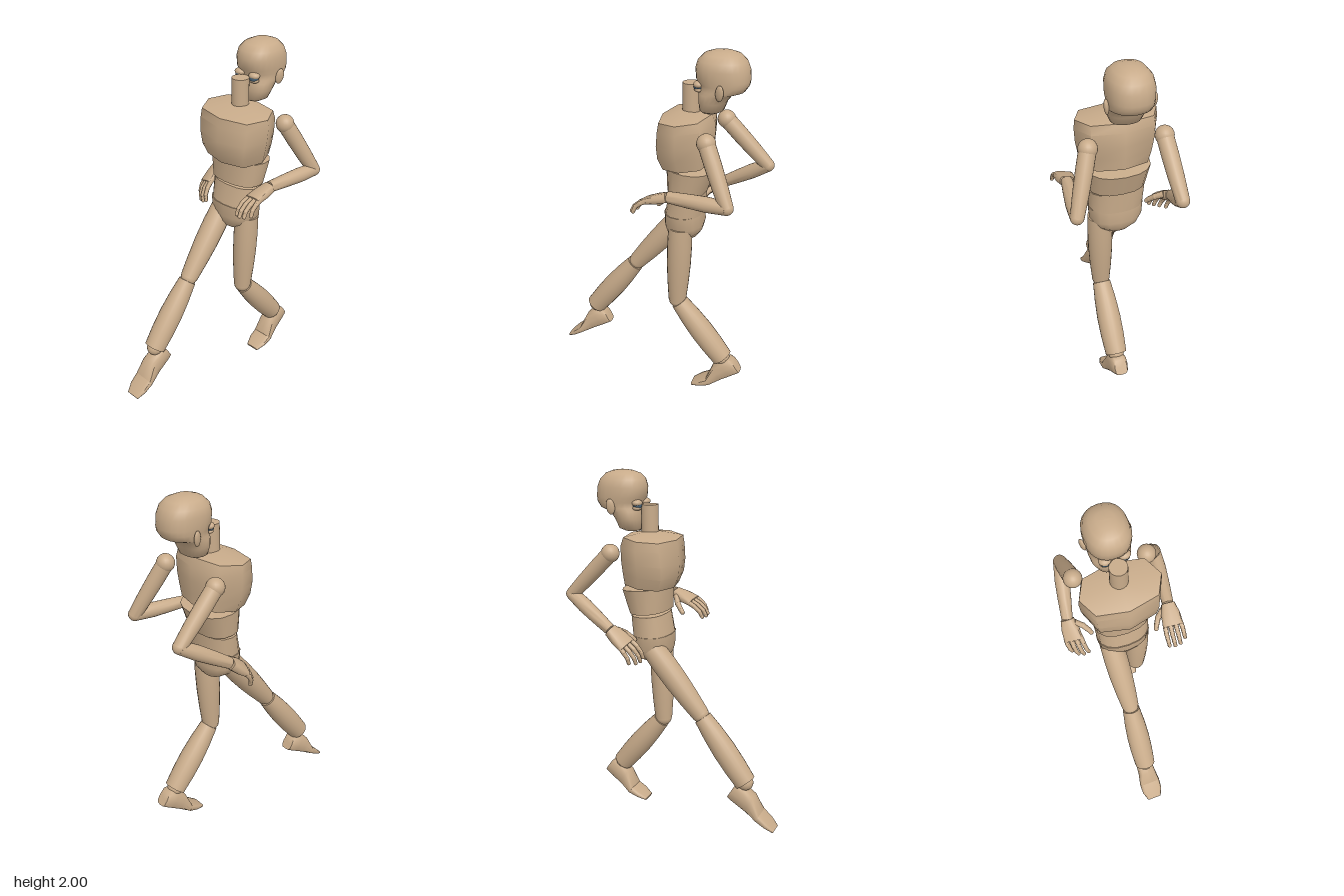
import * as THREE from 'three';
import { toCreasedNormals } from 'three/addons/utils/BufferGeometryUtils.js';

const skin = new THREE.MeshStandardMaterial({ color: 0xc8ab8a });
const eyeBlue = new THREE.MeshStandardMaterial({ color: 0x4a6478 });
const V = (x, y, z) => new THREE.Vector3(x, y, z);

function add(parent, name, geometry, material = skin) {
  const mesh = new THREE.Mesh(geometry, material);
  mesh.name = name;
  parent.add(mesh);
  return mesh;
}

// Closed body through rings [y, halfWidth, zFront, zBack]; power < 1 squares the section,
// slope raises y towards the back, peak lifts the middle of the top
function loft(rings, sides = 8, power = 0.8, slope = 0, peak = 0) {
  const pos = [], idx = [];
  const bend = (c) => Math.sign(c) * Math.pow(Math.abs(c) < 1e-9 ? 0 : Math.abs(c), power);
  const point = (x, y, z, mid) => pos.push(x, y - slope * (z - mid), z);
  rings.forEach(([y, w, zf, zb]) => {
    const mid = (zf + zb) / 2, depth = (zf - zb) / 2;
    for (let j = 0; j < sides; j++) {
      const a = (j / sides) * Math.PI * 2;
      point(w * bend(Math.sin(a)), y, mid + depth * bend(Math.cos(a)), mid);
    }
  });
  const last = rings.length - 1, low = pos.length / 3;
  const [b, t] = [rings[0], rings[last]];
  pos.push(0, b[0], (b[2] + b[3]) / 2, 0, t[0] + peak, (t[2] + t[3]) / 2);
  for (let j = 0; j < sides; j++) {
    const k = (j + 1) % sides;
    for (let i = 0; i < last; i++) {
      const r = i * sides, s = r + sides;
      idx.push(r + j, r + k, s + k, r + j, s + k, s + j);
    }
    idx.push(low, k, j, low + 1, last * sides + j, last * sides + k);
  }
  const g = new THREE.BufferGeometry();
  g.setAttribute('position', new THREE.Float32BufferAttribute(pos, 3));
  g.setIndex(idx);
  return toCreasedNormals(g, 0.95);
}

// Round limb from p to q with radii spaced evenly along it
function limb(parent, name, p, q, radii, sides = 20) {
  const dir = q.clone().sub(p), len = dir.length();
  const pts = [new THREE.Vector2(0, 0)];
  radii.forEach((r, i) => pts.push(new THREE.Vector2(r, (len * i) / (radii.length - 1))));
  pts.push(new THREE.Vector2(0, len));
  const mesh = add(parent, name, toCreasedNormals(new THREE.LatheGeometry(pts, sides), 0.8));
  mesh.position.copy(p);
  mesh.quaternion.setFromUnitVectors(V(0, 1, 0), dir.normalize());
  return mesh;
}

function ball(parent, name, p, r, material = skin, scale = [1, 1, 1]) {
  const mesh = add(parent, name, new THREE.SphereGeometry(r, 20, 14), material);
  mesh.position.copy(p);
  mesh.scale.set(...scale);
  return mesh;
}

// Local x = thumb side, y = towards the fingers
function hand(parent, name, wrist, forward, thumbSide, curl) {
  const f = forward.clone().normalize();
  const a = thumbSide.clone().addScaledVector(f, -thumbSide.dot(f)).normalize();
  const g = new THREE.Group();
  g.name = name;
  g.quaternion.setFromRotationMatrix(new THREE.Matrix4().makeBasis(a, f, a.clone().cross(f)));
  g.position.copy(wrist);
  add(g, 'palm', loft([[0, 0.037, 0.027, -0.027], [0.06, 0.052, 0.026, -0.026],
    [0.125, 0.056, 0.019, -0.019]], 12, 0.65));
  const chain = (part, pts, r) => {
    for (let i = 0; i < pts.length - 1; i++) {
      limb(g, part, pts[i], pts[i + 1], [r, r * 0.9], 10);
      ball(g, part + 'Joint', pts[i + 1], r * 0.92);
      r *= 0.9;
    }
  };
  for (let i = 0; i < 4; i++) {
    const x = 0.042 - i * 0.028, k = [0.97, 1, 0.97, 0.86][i], s = x * 1.1;
    chain('finger', [V(x, 0.11, 0), V(s, 0.165 * k, curl * 0.006),
      V(s, 0.205 * k, curl * 0.022), V(s, 0.228 * k, curl * 0.045)], 0.0145);
  }
  chain('thumb', [V(0.035, 0.025, 0), V(0.07, 0.06, curl * 0.02),
    V(0.088, 0.095, curl * 0.035), V(0.095, 0.115, curl * 0.045)], 0.018);
  parent.add(g);
}

function arm(parent, side, shoulder, elbow, wrist, forward, thumbSide, curl) {
  const g = new THREE.Group();
  g.name = side + 'Arm';
  ball(g, 'shoulder', shoulder, 0.05);
  limb(g, 'upperArm', shoulder, elbow, [0.045, 0.045, 0.042, 0.036]);
  ball(g, 'elbow', elbow, 0.036);
  limb(g, 'forearm', elbow, wrist, [0.036, 0.041, 0.037, 0.031]);
  hand(g, 'hand', wrist, forward, thumbSide, curl);
  parent.add(g);
}

// Foot with separately bent toes; pitches are downward angles
function foot(parent, x, heel, pitch, toePitch) {
  const piece = (name, rings, at, angle) => {
    const f = V(0, -Math.sin(angle), Math.cos(angle));
    const mesh = add(parent, name, loft(rings, 12, 0.55));
    mesh.quaternion.setFromRotationMatrix(
      new THREE.Matrix4().makeBasis(V(1, 0, 0), f, V(1, 0, 0).cross(f)));
    mesh.position.copy(at);
    return at.clone().addScaledVector(f, 0.206);
  };
  const joint = piece('foot', [[0, 0.036, 0, -0.085], [0.015, 0.045, 0, -0.108],
    [0.065, 0.05, 0, -0.112], [0.122, 0.053, 0, -0.105], [0.206, 0.064, 0, -0.045]],
  V(x, heel.y, heel.z), pitch);
  piece('toes', [[0, 0.064, 0, -0.045], [0.06, 0.062, 0, -0.032], [0.115, 0.043, 0, -0.016]],
    joint, toePitch);
}

function leg(parent, side, hip, knee, ankle, heel, pitch, toePitch) {
  const g = new THREE.Group();
  g.name = side + 'Leg';
  limb(g, 'thigh', hip, knee, [0.066, 0.069, 0.067, 0.06, 0.05]);
  ball(g, 'knee', knee, 0.048);
  const start = knee.clone().lerp(ankle, 0.05);
  limb(g, 'shin', start, ankle, [0.05, 0.061, 0.067, 0.066, 0.06]);
  ball(g, 'ankle', ankle, 0.045);
  foot(g, ankle.x, heel, pitch, toePitch);
  parent.add(g);
}

export function createModel() {
  const root = new THREE.Group();
  root.name = 'figure';

  // Torso
  add(root, 'chest', loft([[1.385, 0.18, -0.045, -0.31], [1.45, 0.203, -0.018, -0.315],
    [1.52, 0.216, -0.012, -0.32], [1.6, 0.222, -0.02, -0.318],
    [1.648, 0.217, -0.03, -0.3]], 8, 0.8, 0.1, 0.035));
  add(root, 'abdomen', loft([[1.235, 0.155, -0.075, -0.285], [1.372, 0.173, -0.07, -0.33]],
    16, 0.85, -0.08));
  add(root, 'waist', loft([[1.1, 0.148, -0.063, -0.27], [1.222, 0.154, -0.09, -0.275]], 16, 0.85));
  add(root, 'pelvis', loft([[0.935, 0.025, -0.13, -0.2], [0.955, 0.075, -0.095, -0.24],
    [0.99, 0.125, -0.072, -0.263], [1.03, 0.145, -0.062, -0.272],
    [1.105, 0.152, -0.06, -0.268]], 16, 0.85));
  limb(root, 'neck', V(0, 1.64, -0.187), V(0, 1.82, -0.187), [0.047, 0.047], 24);

  // Head
  const head = new THREE.Group();
  head.name = 'head';
  root.add(head);
  add(head, 'skull', loft([[1.675, 0.05, -0.25, -0.33], [1.69, 0.078, -0.237, -0.36],
    [1.74, 0.1, -0.232, -0.378], [1.782, 0.107, -0.23, -0.41], [1.8, 0.108, -0.235, -0.468],
    [1.83, 0.112, -0.235, -0.488], [1.855, 0.115, -0.216, -0.492], [1.91, 0.116, -0.211, -0.487],
    [1.95, 0.106, -0.222, -0.47], [1.98, 0.08, -0.252, -0.44], [1.995, 0.045, -0.295, -0.4],
    [2, 0.01, -0.34, -0.36]], 24, 0.85));
  for (const s of [-1, 1]) {
    ball(head, 'eye', V(s * 0.05, 1.818, -0.238), 0.026, eyeBlue);
    ball(head, 'upperLid', V(s * 0.05, 1.828, -0.239), 0.028, skin, [1.15, 0.7, 1]);
    ball(head, 'lowerLid', V(s * 0.05, 1.802, -0.24), 0.024, skin, [1.15, 0.6, 1]);
    const ear = ball(head, 'ear', V(s * 0.118, 1.81, -0.365), 0.043, skin, [0.3, 1, 0.55]);
    ear.rotation.set(-0.15, s * -0.35, s * -0.15);
  }

  // Arms
  arm(root, 'left', V(0.2, 1.575, -0.328), V(0.303, 1.285, -0.472), V(0.26, 1.28, -0.15),
    V(-0.1, -0.3, 0.95), V(-1, -0.2, 0), -1);
  arm(root, 'right', V(-0.2, 1.575, -0.328), V(-0.21, 1.333, -0.567), V(-0.272, 1.17, -0.3),
    V(0, -0.6, 0.8), V(0.9, 0.33, 0.22), 1);

  // Legs
  leg(root, 'left', V(0.087, 1.03, -0.165), V(0.076, 0.56, -0.15), V(0.077, 0.22, -0.428),
    V(0, 0.15, -0.54), 0.588, 0.32);
  leg(root, 'right', V(-0.078, 1.03, -0.14), V(-0.07, 0.68, 0.147), V(-0.077, 0.318, 0.425),
    V(0, 0.215, 0.325), 0.513, 0.513);

  return root;
}
